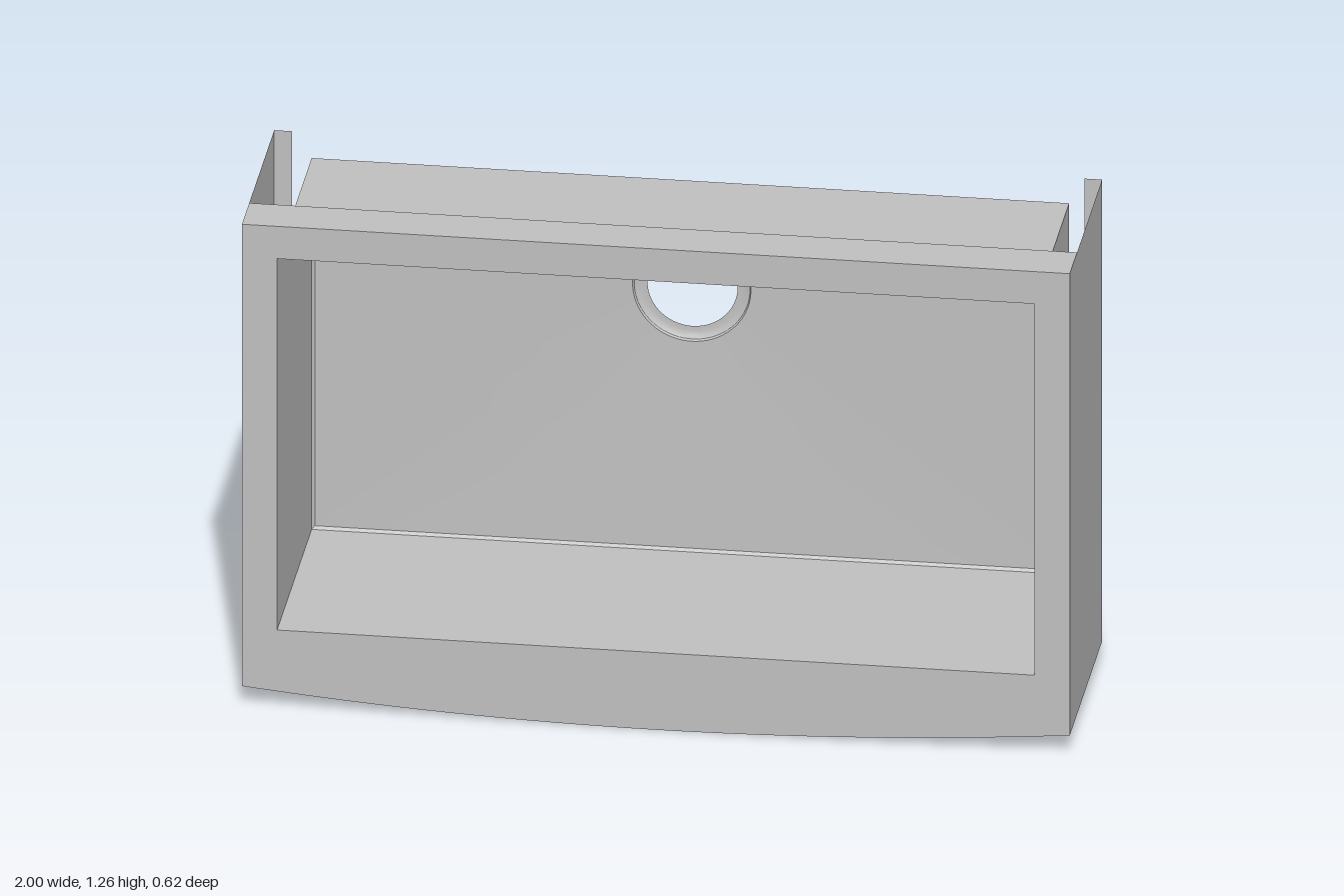
import * as THREE from 'three';
import { toCreasedNormals } from 'three/addons/utils/BufferGeometryUtils.js';

const FRONT = 0.31, BACK = -0.235, TOP = 1.265;        // outer shell
const BX = 0.915, BY0 = 0.203, BY1 = 1.18, FLOOR = -0.28; // bowl
const DRAIN_Y = 0.89;
const apronY = (x) => 0.05 * x * x;                    // bowed apron line

// Outline points along the bowed edge, left to right
const bowed = () => Array.from({ length: 33 }, (_, i) => {
  const x = -1 + i / 16;
  return new THREE.Vector2(x, apronY(x));
});

// Joins closed loops of equal length into a skin
function loft(loops) {
  const pos = [], n = loops[0].length;
  for (let s = 0; s < loops.length - 1; s++) {
    for (let i = 0; i < n; i++) {
      const j = (i + 1) % n;
      const a = loops[s][i], b = loops[s][j], c = loops[s + 1][j], d = loops[s + 1][i];
      pos.push(...a, ...d, ...b, ...b, ...d, ...c);
    }
  }
  const g = new THREE.BufferGeometry();
  g.setAttribute('position', new THREE.Float32BufferAttribute(pos, 3));
  g.computeVertexNormals();
  return toCreasedNormals(g, 0.45);
}

export function createModel() {
  const group = new THREE.Group();
  const steel = new THREE.MeshStandardMaterial({ color: 0xc0c0c0, side: THREE.DoubleSide });
  steel.name = 'steel';
  const add = (name, geometry) => {
    const mesh = new THREE.Mesh(geometry, steel);
    mesh.name = name;
    group.add(mesh);
    return mesh;
  };

  // Rim: flat face with the bowl opening and bowed lower edge
  const rim = new THREE.Shape([...bowed(), new THREE.Vector2(1, TOP), new THREE.Vector2(-1, TOP)]);
  rim.holes.push(new THREE.Path([
    new THREE.Vector2(-BX, BY0), new THREE.Vector2(-BX, BY1),
    new THREE.Vector2(BX, BY1), new THREE.Vector2(BX, BY0),
  ]));
  add('rim', new THREE.ShapeGeometry(rim)).position.z = FRONT;

  // Side panels
  const depth = FRONT - BACK;
  for (const side of [-1, 1]) {
    const panel = add(side > 0 ? 'leftPanel' : 'rightPanel', new THREE.PlaneGeometry(depth, TOP - 0.05));
    panel.rotation.y = side * Math.PI / 2;
    panel.position.set(side, (TOP + 0.05) / 2, (FRONT + BACK) / 2);
  }

  // Bowed apron, its outer face pointing down
  const apron = new THREE.PlaneGeometry(2, depth, 32, 1);
  apron.rotateX(Math.PI / 2);
  const p = apron.attributes.position;
  for (let i = 0; i < p.count; i++) p.setY(i, apronY(p.getX(i)));
  apron.translate(0, 0, (FRONT + BACK) / 2);
  apron.computeVertexNormals();
  add('apron', apron);

  // Folded lip around the back of the sides and apron
  const lip = new THREE.Shape([
    ...bowed(), new THREE.Vector2(1, TOP), new THREE.Vector2(0.957, TOP),
    new THREE.Vector2(0.957, 0.16), new THREE.Vector2(-0.957, 0.16),
    new THREE.Vector2(-0.957, TOP), new THREE.Vector2(-1, TOP),
  ]);
  const backLip = add('backLip', new THREE.ShapeGeometry(lip));
  backLip.rotation.y = Math.PI;
  backLip.position.z = BACK;

  // Narrow flange with a folded edge along the top
  const flangeBack = 0.187;
  const flange = add('topFlange', new THREE.PlaneGeometry(2, FRONT - flangeBack));
  flange.rotation.x = -Math.PI / 2;
  flange.position.set(0, TOP, (FRONT + flangeBack) / 2);
  const fold = add('flangeFold', new THREE.PlaneGeometry(2, 0.045));
  fold.rotation.y = Math.PI;
  fold.position.set(0, TOP - 0.0225, flangeBack);

  // Angles around the drain, including the bowl corners
  const angles = Array.from({ length: 64 }, (_, i) => -Math.PI + (i + 0.5) * Math.PI / 32);
  for (const x of [-BX, BX]) for (const y of [BY0, BY1]) angles.push(Math.atan2(y - DRAIN_Y, x));
  angles.sort((a, b) => a - b);

  const rectLoop = (inset, z) => angles.map((a) => {
    const c = Math.cos(a), s = Math.sin(a);
    const t = Math.min(BX / Math.abs(c), (s > 0 ? BY1 - DRAIN_Y : DRAIN_Y - BY0) / Math.abs(s));
    const x = c * t, y = DRAIN_Y + s * t, my = (BY0 + BY1) / 2, hy = (BY1 - BY0) / 2;
    return [x * (1 - inset / BX), my + (y - my) * (1 - inset / hy), z];
  });
  const ringLoop = (r, z) => angles.map((a) => [r * Math.cos(a), DRAIN_Y + r * Math.sin(a), z]);

  // Bowl: straight walls, small bevel, floor falling to the drain
  add('bowl', loft([
    rectLoop(0, FRONT), rectLoop(0, FLOOR + 0.007), rectLoop(0.007, FLOOR), ringLoop(0.143, -0.296),
  ]));

  // Recessed drain seat with an open hole
  add('drainSeat', loft([
    ringLoop(0.143, -0.296), ringLoop(0.14, -0.303), ringLoop(0.132, -0.308),
    ringLoop(0.12, -0.31), ringLoop(0.109, -0.31),
  ]));

  return group;
}
